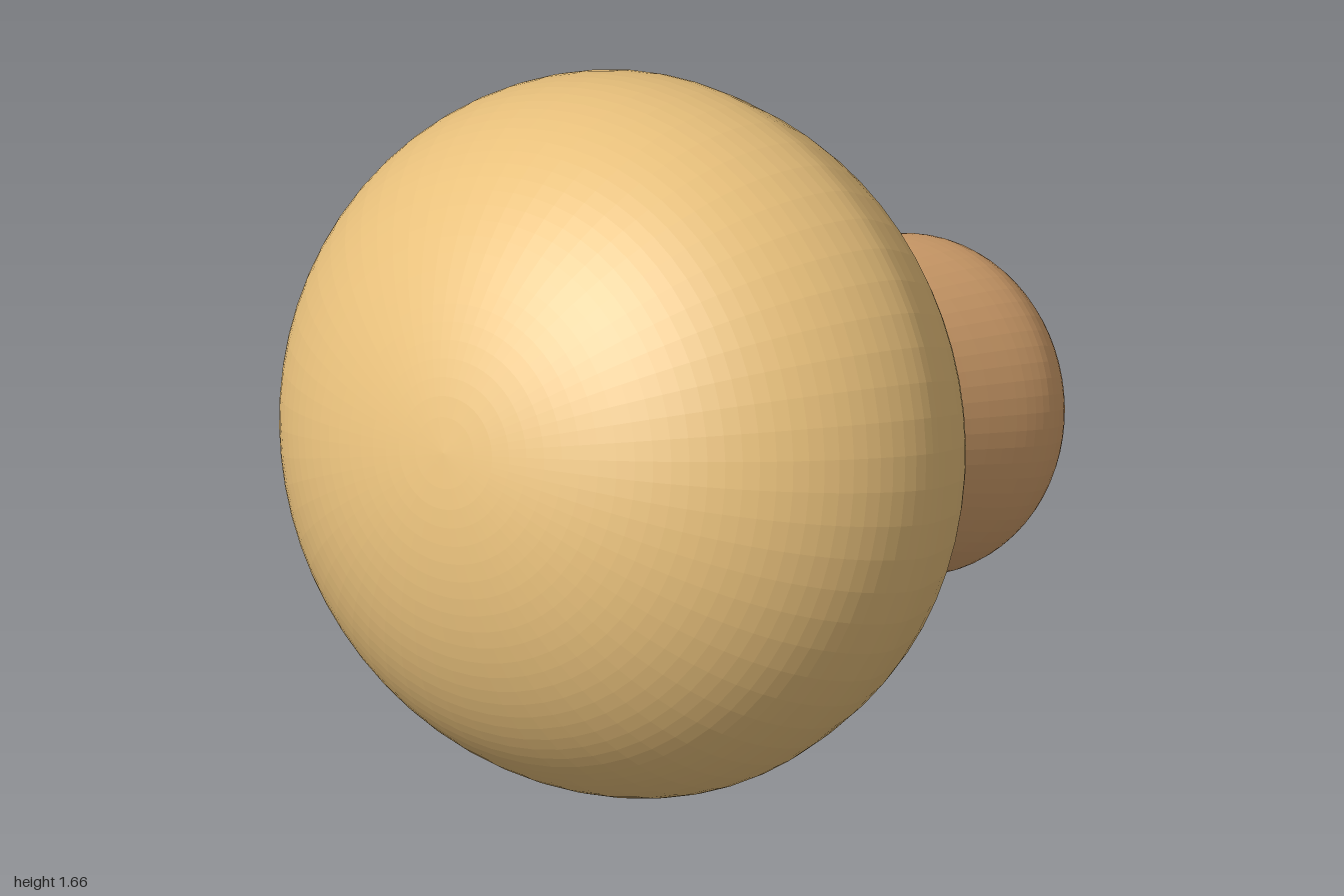
import * as THREE from 'three';

const SEGMENTS = 64;

// Smooth lathe from a few [radius, height] points
function turned(name, points, samples, color, widen) {
  const curve = new THREE.SplineCurve(points.map(([r, h]) => new THREE.Vector2(r, h)));
  const profile = curve.getPoints(samples);
  profile.forEach((p) => { p.x = Math.max(p.x, 0); });
  const mesh = new THREE.Mesh(
    new THREE.LatheGeometry(profile, SEGMENTS),
    new THREE.MeshStandardMaterial({ color, flatShading: true, side: THREE.DoubleSide })
  );
  mesh.name = name;
  mesh.scale.x = widen;
  return mesh;
}

export function createModel() {
  const model = new THREE.Group();
  model.name = 'mushroom';

  // Mushroom lying tipped forward, its axis close to horizontal
  const body = new THREE.Group();
  body.name = 'tippedBody';
  body.position.set(0, 0.84, 0.28);
  body.rotation.x = 1.234;
  model.add(body);

  // Cap: hollow underside with an open hole, rolled rim, ellipsoid dome
  const capPoints = [
    [0.39, -0.25], [0.46, -0.255], [0.525, -0.295], [0.575, -0.345], [0.63, -0.365],
    [0.69, -0.343], [0.778, -0.245], [0.838, -0.09]
  ];
  for (let i = 0; i <= 10; i++) {
    const a = (i / 10) * Math.PI / 2;
    capPoints.push([0.853 * Math.cos(a), 0.7 * Math.sin(a)]);
  }
  body.add(turned('cap', capPoints, 54, 0xe9c17c, 1.05));

  // Stem: rounded, swollen foot, narrowing into the cap
  const stemPoints = [
    [0, -1.32], [0.11, -1.312], [0.21, -1.283], [0.3, -1.238], [0.365, -1.175],
    [0.398, -1.1], [0.402, -1.02], [0.39, -0.9], [0.365, -0.7], [0.35, -0.5],
    [0.342, -0.36], [0.338, -0.1], [0.335, 0.15]
  ];
  body.add(turned('stem', stemPoints, 40, 0xd3a06c, 1.015));

  return model;
}
